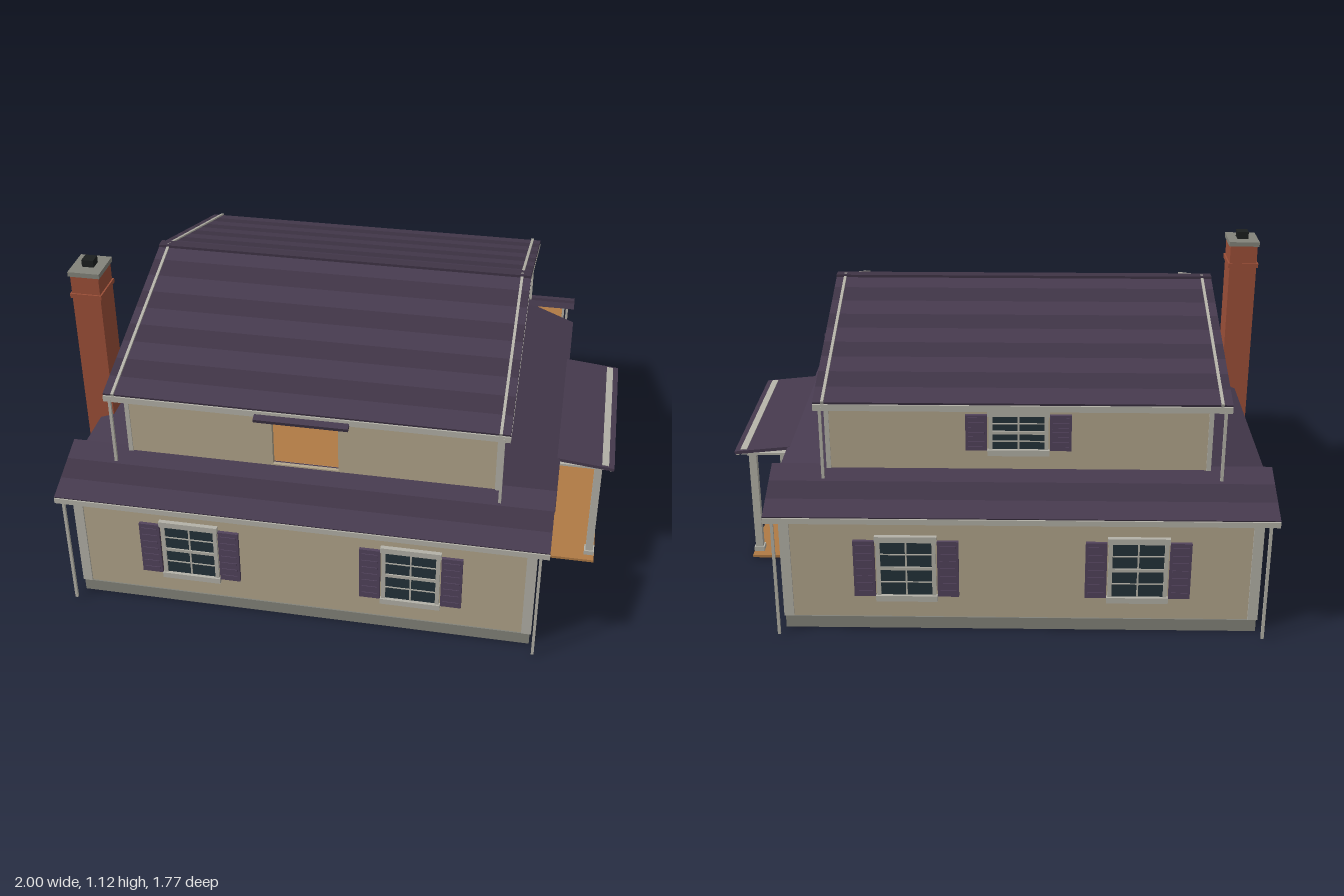
import * as THREE from 'three';

const C = {
  wall: 0xb3a68c, base: 0x83837a, trim: 0xb4b2a8, roof: 0x463a4e, roofDark: 0x3f3446, floor: 0xb07a45,
  inner: 0xb5b2a4, glass: 0x24323a, shutter: 0x52435c, brick: 0x9c4f38, black: 0x1c1f1f, navy: 0x26364f,
};
const mats = {};
const mat = (color) => (mats[color] ??= new THREE.MeshStandardMaterial({ color, side: THREE.DoubleSide }));

function add(parent, name, geometry, color) {
  const mesh = new THREE.Mesh(geometry, mat(color));
  mesh.name = name;
  parent.add(mesh);
  return mesh;
}

// Box given by its limits on each axis
function box(parent, name, color, x0, x1, y0, y1, z0, z1) {
  const m = add(parent, name, new THREE.BoxGeometry(x1 - x0, y1 - y0, z1 - z0), color);
  m.position.set((x0 + x1) / 2, (y0 + y1) / 2, (z0 + z1) / 2);
  return m;
}

// Sloping slab running along x, from (z0, y0) to (z1, y1), laid in courses
function slopeZ(parent, name, color, x0, x1, [z0, y0], [z1, y1], t, courses = 1) {
  for (let i = 0; i < courses; i++) {
    const f = (i + 0.5) / courses;
    const shade = i % 2 ? C.roofDark : color;
    const m = add(parent, name, new THREE.BoxGeometry(x1 - x0, t, Math.hypot(z1 - z0, y1 - y0) / courses), shade);
    m.position.set((x0 + x1) / 2, y0 + (y1 - y0) * f, z0 + (z1 - z0) * f);
    m.rotation.x = Math.atan2(y0 - y1, z1 - z0);
  }
}

// Sloping slab running along z, from (x0, y0) to (x1, y1)
function slopeX(parent, name, color, z0, z1, [x0, y0], [x1, y1], t) {
  const m = add(parent, name, new THREE.BoxGeometry(Math.hypot(x1 - x0, y1 - y0), t, z1 - z0), color);
  m.position.set((x0 + x1) / 2, (y0 + y1) / 2, (z0 + z1) / 2);
  m.rotation.z = Math.atan2(y1 - y0, x1 - x0);
}

// Wall outline extruded 0.02 inwards from its outer face, with an optional rectangular opening
function wall(parent, name, outline, hole) {
  const shape = new THREE.Shape(outline.map(([a, b]) => new THREE.Vector2(a, b)));
  if (hole) {
    const [a0, a1, b0, b1] = hole;
    shape.holes.push(new THREE.Path([[a0, b0], [a0, b1], [a1, b1], [a1, b0]].map(([a, b]) => new THREE.Vector2(a, b))));
  }
  const geo = new THREE.ExtrudeGeometry(shape, { depth: 0.02, bevelEnabled: false }).translate(0, 0, -0.02);
  return add(parent, name, geo, C.wall);
}

// Shuttered sash window, facing +z before turning
function windowUnit(parent, x, y, z, turn, h) {
  const g = new THREE.Group();
  g.name = 'window';
  box(g, 'glass', C.glass, -0.095, 0.095, -h, h, -0.005, 0.004);
  for (const s of [-1, 1]) {
    box(g, 'windowJamb', C.trim, s * 0.096 - 0.007, s * 0.096 + 0.007, -h, h, 0, 0.01);
    box(g, 'windowSill', C.trim, -0.107, 0.107, s * (h + 0.008) - 0.011, s * (h + 0.008) + 0.011, 0, 0.016);
    box(g, 'shutter', C.shutter, s * 0.145 - 0.037, s * 0.145 + 0.037, -h, h, 0, 0.012);
    for (let i = -3; i <= 3; i++) {
      const c = i * h * 0.27;
      box(g, 'shutterSlat', C.shutter, s * 0.145 - 0.028, s * 0.145 + 0.028, c - 0.004, c + 0.004, 0.01, 0.015);
    }
  }
  box(g, 'meetingRail', C.trim, -0.09, 0.09, -0.006, 0.006, 0, 0.009);
  box(g, 'glazingBar', C.trim, -0.003, 0.003, -h, h, 0, 0.007);
  for (const s of [-1, 1]) box(g, 'glazingBar', C.trim, -0.09, 0.09, s * h / 2 - 0.002, s * h / 2 + 0.002, 0, 0.007);
  g.position.set(x, y, z);
  g.rotation.y = turn;
  parent.add(g);
}

function lowerStorey(g) {
  const [x0, x1, z, h] = [-0.89, 0.75, 0.82, 0.465];
  box(g, 'groundFloor', C.floor, x0, x1, 0, 0.012, -z, z);
  box(g, 'upperFloor', C.floor, x0, x1, h - 0.01, h, -z, z);
  for (const s of [-1, 1]) {
    box(g, 'longWall', C.wall, x0, x1, 0.01, h - 0.01, s * (z - 0.01) - 0.01, s * (z - 0.01) + 0.01);
    box(g, 'foundation', C.base, x0 - 0.004, x1 + 0.004, 0, 0.045, s * z - 0.005, s * z + 0.005);
    for (const x of [x0, x1]) {
      box(g, 'cornerBoard', C.trim, x - 0.009, x + 0.009, 0.045, h, s * (z - 0.01) - 0.016, s * (z - 0.01) + 0.016);
      box(g, 'cornerBoard', C.trim, x - (x > 0 ? 0.026 : 0), x + (x > 0 ? 0 : 0.026), 0.045, h, s * z - 0.006, s * z + 0.006);
    }
    box(g, 'foundation', C.base, x1 - 0.004, x1 + 0.004, 0, 0.045, s < 0 ? -z : 0.24, s < 0 ? -0.24 : z);
    for (const x of [-0.475, 0.325]) windowUnit(g, x, 0.24, s * z, s > 0 ? 0 : Math.PI, 0.108);
  }
  box(g, 'foundation', C.base, x0 - 0.004, x0 + 0.004, 0, 0.045, -z, z);
  box(g, 'leftWall', C.wall, x0, x0 + 0.02, 0.01, h - 0.01, -z, z);
  box(g, 'innerLining', C.inner, x0 + 0.02, x0 + 0.024, 0.012, h - 0.01, -z + 0.02, z - 0.02);
  const right = wall(g, 'rightWall', [[-z, 0.005], [z, 0.005], [z, h - 0.005], [-z, h - 0.005]], [-0.235, 0.235, 0.012, 0.39]);
  right.rotation.y = Math.PI / 2;
  right.position.x = x1;
  windowUnit(g, x0, 0.24, 0, -Math.PI / 2, 0.108);
}

function lowerRoof(g) {
  for (const s of [-1, 1]) {
    slopeZ(g, 'skirtRoof', C.roof, -0.94, 0.8, [s * 0.65, 0.55], [s * 0.88, 0.46], 0.014, 3);
    box(g, 'gutter', C.trim, -0.94, 0.8, 0.442, 0.462, s * 0.88 - 0.006, s * 0.88 + 0.006);
    box(g, 'soffit', C.trim, -0.93, 0.79, 0.452, 0.458, s * 0.85 - 0.03, s * 0.85 + 0.03);
    for (const x of [-0.91, 0.77]) box(g, 'downspout', C.trim, x - 0.005, x + 0.005, 0.005, 0.45, s * 0.877 - 0.005, s * 0.877 + 0.005);
  }
  slopeX(g, 'sideRoof', C.roof, -0.66, 0.66, [0.59, 0.55], [0.8, 0.467], 0.014);
  slopeX(g, 'sideRoof', C.roof, -0.66, 0.66, [-0.71, 0.55], [-0.94, 0.467], 0.014);
}

function upperStorey(g) {
  const [x0, x1, z, y0, eave, peak] = [-0.72, 0.6, 0.67, 0.465, 0.815, 1.025];
  const front = wall(g, 'upperFrontWall', [[x0, y0], [x1, y0], [x1, eave], [x0, eave]], [-0.195, 0.04, 0.555, 0.78]);
  front.position.z = z;
  box(g, 'upperBackWall', C.wall, x0, x1, y0, eave, -z, -z + 0.02);
  box(g, 'innerLining', C.inner, x0 + 0.02, x1 - 0.02, 0.552, eave, -z + 0.02, -z + 0.024);
  box(g, 'upperRoomFloor', C.floor, x0 + 0.02, x1 - 0.02, 0.54, 0.552, -z + 0.02, z - 0.004);
  for (const s of [-1, 1]) {
    // Gable wall with round louvred vent
    const end = new THREE.Group();
    end.name = 'gableEnd';
    wall(end, 'gableWall', [[-z, y0], [z, y0], [z, eave], [0, peak], [-z, eave]]);
    add(end, 'ventRing', new THREE.TorusGeometry(0.038, 0.007, 8, 28), C.trim).position.set(0, 0.915, 0.002);
    add(end, 'ventBack', new THREE.CircleGeometry(0.036, 28), C.black).position.set(0, 0.915, 0.003);
    for (let i = -2; i <= 2; i++) {
      const w = Math.sqrt(0.036 ** 2 - (i * 0.013) ** 2);
      box(end, 'ventLouvre', C.trim, -w, w, 0.913 + i * 0.013, 0.917 + i * 0.013, 0.002, 0.008);
    }
    for (const e of [-1, 1]) box(end, 'cornerBoard', C.trim, e * 0.66 - 0.014, e * 0.66 + 0.014, 0.5, eave, -0.01, 0.006);
    end.position.x = s > 0 ? x1 : x0;
    end.rotation.y = s * Math.PI / 2;
    g.add(end);

    // Main roof, rake trim, gutters and downspouts
    slopeZ(g, 'mainRoof', C.roof, -0.78, 0.635, [0, 1.03], [s * 0.72, 0.81], 0.016, 9);
    for (const x of [-0.745, 0.602]) {
      slopeZ(g, 'rakeTrim', C.trim, x - 0.005, x + 0.005, [0, 1.033], [s * 0.725, 0.813], 0.02);
    }
    for (const x of [-0.778, 0.633]) slopeZ(g, 'rakeBoard', C.trim, x - 0.003, x + 0.003, [0, 1.018], [s * 0.72, 0.798], 0.012);
    box(g, 'gutter', C.trim, -0.78, 0.635, 0.788, 0.81, s * 0.72 - 0.006, s * 0.72 + 0.006);
    box(g, 'soffit', C.trim, -0.77, 0.625, 0.794, 0.8, s * 0.693 - 0.025, s * 0.693 + 0.025);
    for (const x of [-0.758, 0.612]) box(g, 'downspout', C.trim, x - 0.005, x + 0.005, 0.535, 0.8, s * 0.722 - 0.005, s * 0.722 + 0.005);
  }
  box(g, 'ridgeCap', C.roofDark, -0.78, 0.635, 1.028, 1.042, -0.02, 0.02);
  slopeZ(g, 'doorAwning', C.roof, -0.24, 0.09, [0.67, 0.81], [0.748, 0.785], 0.014);
  windowUnit(g, -0.06, 0.69, -z, Math.PI, 0.066);
}

function porch(g) {
  box(g, 'porchFloor', C.floor, 0.75, 0.965, 0, 0.01, -0.34, 0.34);
  slopeX(g, 'porchRoof', C.roof, -0.35, 0.35, [0.77, 0.474], [1, 0.45], 0.012);
  box(g, 'porchCeiling', C.trim, 0.755, 0.98, 0.436, 0.444, -0.335, 0.335);
  slopeX(g, 'porchRoofTrim', C.trim, -0.34, 0.34, [0.955, 0.46], [0.98, 0.4575], 0.006);
  box(g, 'porchFascia', C.trim, 0.985, 0.998, 0.44, 0.449, -0.345, 0.345);
  box(g, 'doorHeader', C.trim, 0.75, 0.765, 0.39, 0.415, -0.255, 0.255);
  box(g, 'threshold', C.trim, 0.735, 0.758, 0.008, 0.016, -0.235, 0.235);
  for (const s of [-1, 1]) {
    const zs = s * 0.29;
    for (const [x, r] of [[0.945, 0.014], [0.772, 0.008]]) {
      box(g, 'porchPost', C.trim, x - r, x + r, 0.01, 0.436, zs - 0.014, zs + 0.014);
      for (const y of [0.01, 0.42]) box(g, 'postBlock', C.trim, x - r - 0.005, x + r + 0.005, y, y + 0.018, zs - 0.02, zs + 0.02);
    }
    box(g, 'doorJamb', C.trim, 0.75, 0.76, 0.01, 0.39, s * 0.233 - 0.006, s * 0.233 + 0.006);
    // Panelled door leaf folded back against the wall
    box(g, 'doorLeaf', C.navy, 0.75, 0.762, 0.012, 0.34, s * 0.288 - 0.05, s * 0.288 + 0.05);
    for (const y of [0.025, 0.185]) box(g, 'doorPanel', C.trim, 0.755, 0.765, y, y + 0.135, s * 0.288 - 0.037, s * 0.288 + 0.037);
  }
}

function chimney(g) {
  box(g, 'chimneyStack', C.brick, -0.994, -0.888, 0, 1.085, 0.255, 0.385);
  box(g, 'chimneyCollar', C.brick, -1, -0.882, 0.993, 1.01, 0.249, 0.391);
  box(g, 'chimneyCap', C.base, -1, -0.882, 1.08, 1.098, 0.249, 0.391);
  box(g, 'flue', C.black, -0.962, -0.918, 1.09, 1.125, 0.298, 0.342);
}

export function createModel() {
  const house = new THREE.Group();
  house.name = 'house';
  for (const build of [lowerStorey, lowerRoof, upperStorey, porch, chimney]) {
    const part = new THREE.Group();
    part.name = build.name;
    build(part);
    house.add(part);
  }
  return house;
}
